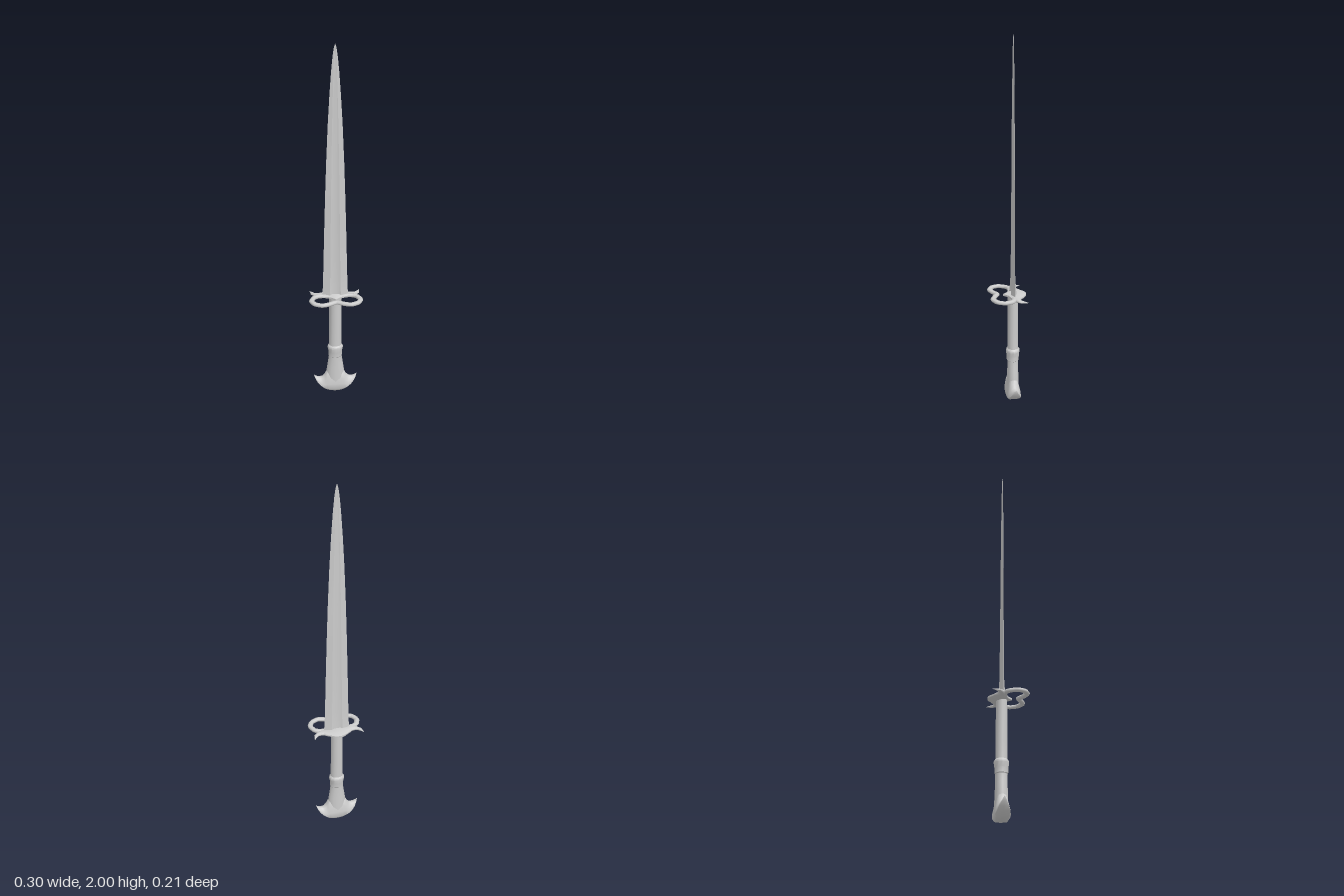
import * as THREE from 'three';
import { toCreasedNormals } from 'three/addons/utils/BufferGeometryUtils.js';

const Z = -0.031; // depth of the blade and grip axis
const material = new THREE.MeshStandardMaterial({ color: 0xcccccc });

// Skin a list of rings (arrays of [x, y, z]) and close both ends
function loft(rings, crease) {
  const n = rings[0].length, pos = rings.flat(2), index = [];
  for (let i = 0; i < rings.length - 1; i++) {
    for (let j = 0; j < n; j++) {
      const a = i * n + j, b = i * n + (j + 1) % n;
      index.push(a, b, b + n, a, b + n, a + n);
    }
  }
  [0, rings.length - 1].forEach((r, end) => {
    const c = pos.length / 3;
    for (let k = 0; k < 3; k++) pos.push(rings[r].reduce((s, p) => s + p[k], 0) / n);
    for (let j = 0; j < n; j++) {
      const a = r * n + j, b = r * n + (j + 1) % n;
      index.push(c, end ? a : b, end ? b : a);
    }
  });
  const g = new THREE.BufferGeometry();
  g.setAttribute('position', new THREE.Float32BufferAttribute(pos, 3));
  g.setIndex(index);
  return toCreasedNormals(g, crease);
}

// Mirror stations that start at x = 0 to cover both sides
const mirrorX = (half) => [
  ...half.slice(1).reverse().map(([x, ...rest]) => [-x, ...rest]),
  ...half,
];

function ellipseY(y, rx, rz, n = 12) {
  return Array.from({ length: n }, (_, j) => {
    const t = (j / n) * Math.PI * 2;
    return [rx * Math.sin(t), y, Z + rz * Math.cos(t)];
  });
}

export function createModel() {
  const group = new THREE.Group();
  const add = (name, geometry) => {
    const mesh = new THREE.Mesh(geometry, material);
    mesh.name = name;
    group.add(mesh);
    return mesh;
  };

  // Blade: tapering double-edged section with a central fuller
  const section = [
    [0, 0.5], [0.25, 0.6], [0.42, 1], [1, 0], [0.42, -1], [0.25, -0.6],
    [0, -0.5], [-0.25, -0.6], [-0.42, -1], [-1, 0], [-0.42, 1], [-0.25, 0.6],
  ];
  const blade = [ // y, half width, half thickness
    [0.62, 0.075, 0.017], [0.66, 0.07, 0.013], [0.74, 0.067, 0.008], [1, 0.06, 0.007],
    [1.2, 0.054, 0.006], [1.4, 0.047, 0.0055], [1.6, 0.038, 0.005], [1.75, 0.029, 0.004],
    [1.87, 0.02, 0.003], [1.94, 0.013, 0.0025], [1.98, 0.007, 0.002], [2, 0.001, 0.001],
  ];
  add('blade', loft(blade.map(([y, w, t]) => section.map(([x, z]) => [x * w, y, Z + z * t])), 0.4));

  // Guard plate: rounded bar with a rear bulge and swept-back horns
  const guard = mirrorX([ // x, back z, front z, half height
    [0, -0.107, 0.027, 0.016], [0.015, -0.105, 0.013, 0.016], [0.03, -0.099, 0, 0.015],
    [0.046, -0.087, -0.006, 0.014], [0.06, -0.079, -0.01, 0.013], [0.08, -0.063, -0.012, 0.012],
    [0.1, -0.06, -0.024, 0.011], [0.115, -0.064, -0.035, 0.009],
    [0.135, -0.088, -0.052, 0.005], [0.141, -0.096, -0.09, 0.001],
  ]);
  add('guardPlate', loft(guard.map(([x, back, front, h]) =>
    Array.from({ length: 10 }, (_, j) => {
      const t = (j / 10) * Math.PI * 2;
      return [x, 0.622 + h * Math.cos(t), (back + front) / 2 + ((front - back) / 2) * Math.sin(t)];
    })), 1));

  // Double finger ring in front of the guard
  const ringPath = mirrorX([
    [0, 0.004, 0.057], [0.04, 0.004, 0.077], [0.078, 0.004, 0.089], [0.118, 0.003, 0.07],
    [0.136, 0.002, 0.033], [0.122, 0, -0.006], [0.1, 0, -0.022], [0.07, 0, -0.026],
  ]).map((p) => new THREE.Vector3(...p));
  const ringCurve = new THREE.CatmullRomCurve3(ringPath, false, 'catmullrom', 0.25);
  const rings = add('fingerRings', new THREE.TubeGeometry(ringCurve, 56, 0.0145, 8));
  rings.position.y = 0.624;
  rings.scale.y = 0.75;

  // Grip: oval handle flaring into the pommel
  const grip = [[0.04, 0.055, 0.036], [0.1, 0.055, 0.034], [0.15, 0.049, 0.032],
    [0.19, 0.043, 0.031], [0.24, 0.036, 0.03], [0.4, 0.035, 0.03], [0.62, 0.034, 0.029]];
  add('grip', loft(grip.map((s) => ellipseY(...s)), 1));

  // Collar: waisted band around the grip
  const collar = [[0.228, 0.034, 0.028], [0.235, 0.04, 0.034], [0.262, 0.039, 0.035],
    [0.288, 0.045, 0.039], [0.298, 0.043, 0.037], [0.308, 0.033, 0.028]];
  add('gripCollar', loft(collar.map((s) => ellipseY(...s)), 0.6));

  // Pommel: crescent with upturned tips, thick along its lower edge
  const pommel = mirrorX([ // x, bottom y, top y, half depth
    [0, 0, 0.15, 0.04], [0.03, 0.003, 0.145, 0.04], [0.05, 0.01, 0.13, 0.039],
    [0.06, 0.015, 0.108, 0.038], [0.075, 0.026, 0.088, 0.035], [0.09, 0.039, 0.084, 0.03],
    [0.105, 0.057, 0.086, 0.023], [0.118, 0.078, 0.094, 0.012], [0.125, 0.097, 0.101, 0.002],
  ]);
  const profile = [ // height fraction, depth fraction
    [1, 0], [0.9, 0.45], [0.6, 0.75], [0.35, 0.95], [0.12, 1], [0.02, 0.75],
    [0, 0], [0.02, -0.75], [0.12, -1], [0.35, -0.95], [0.6, -0.75], [0.9, -0.45],
  ];
  add('pommel', loft(pommel.map(([x, lo, hi, d]) =>
    profile.map(([h, z]) => [x, lo + (hi - lo) * h, Z + z * d])), 0.9));

  return group;
}
